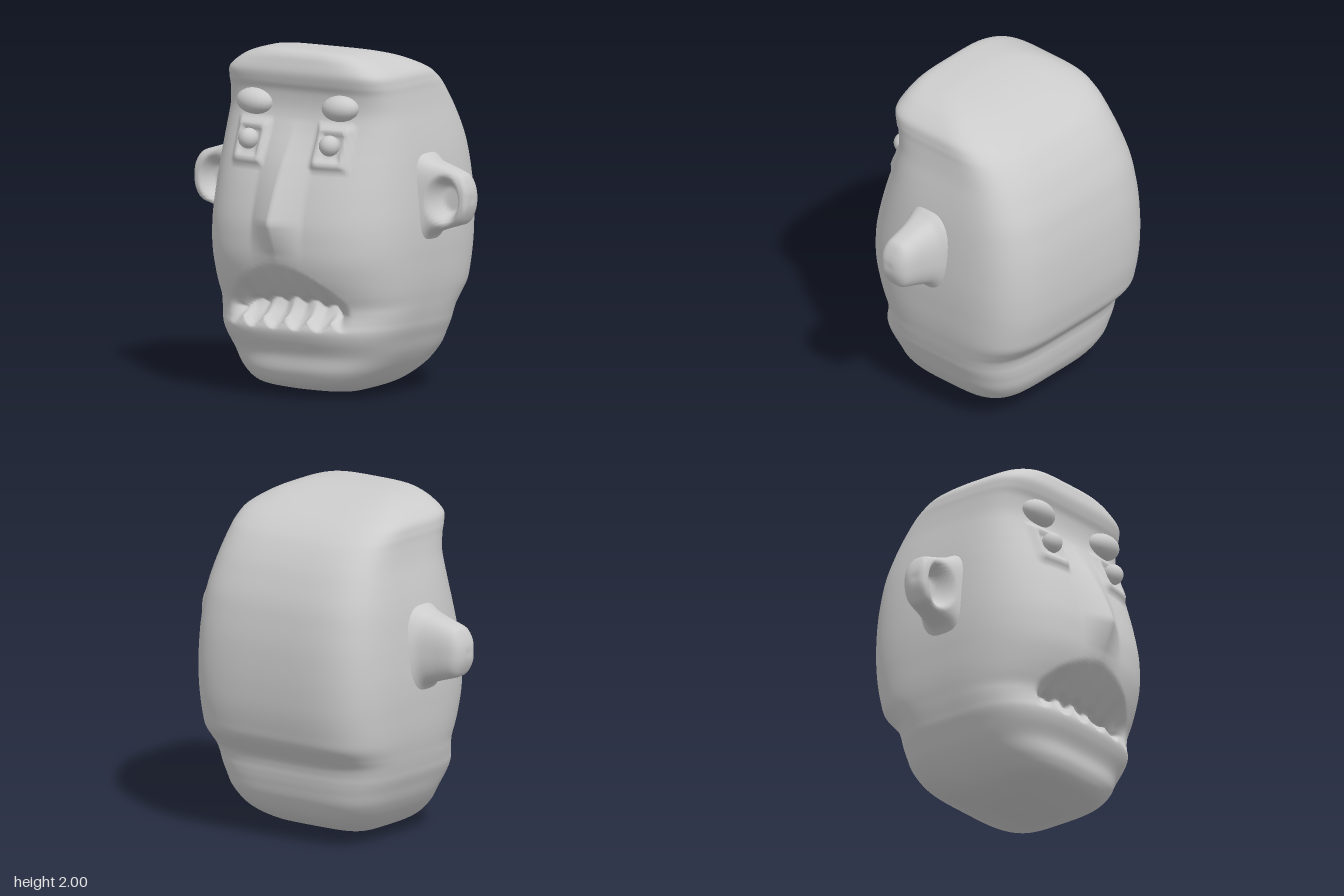
import * as THREE from 'three';

const { lerp, smoothstep, clamp } = THREE.MathUtils;

// Closed surface from rings: point(i, j) gives [x, y, z]
function skin(name, rings, sides, point, material) {
  const pos = [], index = [];
  for (let i = 0; i < rings; i++) for (let j = 0; j < sides; j++) pos.push(...point(i, j));
  for (let i = 0; i < rings - 1; i++) {
    for (let j = 0; j < sides; j++) {
      const a = i * sides + j, b = i * sides + (j + 1) % sides;
      index.push(a, b, a + sides, b, b + sides, a + sides);
    }
  }
  const g = new THREE.BufferGeometry();
  g.setAttribute('position', new THREE.Float32BufferAttribute(pos, 3));
  g.setIndex(index);
  g.computeVertexNormals();
  const mesh = new THREE.Mesh(g, material);
  mesh.name = name;
  return mesh;
}

// Smooth interpolation through rows of numbers
function sampleRows(rows, t) {
  const last = rows.length - 1, k = Math.min(Math.floor(t), last - 1), f = t - k;
  const at = n => rows[clamp(n, 0, last)];
  return rows[k].map((p1, c) => {
    const p0 = at(k - 1)[c], p2 = at(k + 1)[c], p3 = at(k + 2)[c];
    return p1 + 0.5 * f * (p2 - p0 + f * (2 * p0 - 5 * p1 + 4 * p2 - p3 + f * (3 * (p1 - p2) + p3 - p0)));
  });
}

// Piecewise linear value from [x, value] pairs in rising x
function ramp(pairs, x) {
  if (x <= pairs[0][0]) return pairs[0][1];
  for (let i = 1; i < pairs.length; i++) {
    const [x0, v0] = pairs[i - 1], [x1, v1] = pairs[i];
    if (x <= x1) return lerp(v0, v1, (x - x0) / (x1 - x0));
  }
  return pairs[pairs.length - 1][1];
}

// Superellipse radius for direction (c, s)
const superRadius = (c, s, a, b, n) =>
  Math.pow(Math.pow(Math.abs(c) / a, n) + Math.pow(Math.abs(s) / b, n), -1 / n);

// Head levels, bottom up: height, half width, front z, back z, front squareness
const HEAD = [
  [0, 0.001, 0.02, 0.018, 2.5],
  [0.008, 0.16, 0.14, -0.08, 2.8],
  [0.025, 0.25, 0.25, -0.15, 3],
  [0.07, 0.36, 0.405, -0.29, 3.2],
  [0.15, 0.45, 0.465, -0.42, 3.2],
  [0.25, 0.52, 0.475, -0.49, 3.2],
  [0.34, 0.56, 0.515, -0.515, 3.2],
  [0.4, 0.585, 0.53, -0.525, 3.1],
  [0.45, 0.598, 0.515, -0.53, 3.1],
  [0.5, 0.61, 0.505, -0.545, 3.1],
  [0.55, 0.62, 0.515, -0.585, 3],
  [0.62, 0.633, 0.545, -0.64, 3],
  [0.7, 0.643, 0.58, -0.662, 2.9],
  [0.8, 0.65, 0.605, -0.68, 2.9],
  [0.9, 0.655, 0.61, -0.688, 2.9],
  [1.03, 0.655, 0.6, -0.69, 2.9],
  [1.2, 0.645, 0.555, -0.68, 3],
  [1.35, 0.63, 0.5, -0.655, 3.2],
  [1.45, 0.615, 0.455, -0.63, 3.5],
  [1.55, 0.595, 0.41, -0.59, 4],
  [1.65, 0.573, 0.38, -0.54, 4.5],
  [1.75, 0.557, 0.38, -0.47, 5],
  [1.81, 0.55, 0.4, -0.41, 5],
  [1.87, 0.53, 0.41, -0.32, 5],
  [1.93, 0.455, 0.395, -0.18, 4.5],
  [1.965, 0.38, 0.38, -0.06, 4],
  [1.988, 0.29, 0.355, 0.06, 4],
  [1.998, 0.17, 0.32, 0.15, 3.5],
  [2, 0.001, 0.25, 0.248, 3],
];
const NOSE = [[0.76, 0], [0.85, 0.02], [0.94, 0.06], [1.03, 0.1], [1.35, 0.05], [1.6, 0]];

// Relief of the face along z at a point of its front
function faceRelief(x, y) {
  const ax = Math.abs(x);
  let dz = ramp(NOSE, y) * Math.max(0, 1 - ax / 0.17);
  // raised square eye sockets with a shallow hollow
  const sq = Math.max(Math.abs(ax - 0.277), Math.abs(y - 1.465) * 0.9);
  dz += 0.035 * (1 - smoothstep(sq, 0.085, 0.125)) - 0.025 * (1 - smoothstep(sq, 0.05, 0.08));
  // mouth: sloping upper lip, scalloped edges and a floor rising to the lower lip
  if (ax < 0.42) {
    const fade = 1 - smoothstep(ax, 0.26, 0.42);
    const scallop = Math.abs(Math.cos(Math.PI * x / 0.13));
    const top = 0.78 - 1.3 * ax * ax;
    const mid = 0.595 - 0.5 * ax * ax - 0.035 * (1 - scallop);
    const low = 0.415 + 0.06 * (1 - Math.abs(Math.sin(Math.PI * x / 0.15)));
    dz -= fade * ramp([[low - 0.008, 0], [low + 0.008, 0.04], [mid - 0.012, 0.14],
      [mid + 0.012, 0.1], [Math.max(top, mid + 0.05), 0]], y);
  }
  return dz;
}

function makeHead(material) {
  const steps = 6, sides = 240;
  return skin('head', (HEAD.length - 1) * steps + 1, sides, (i, j) => {
    const [y, w, zf, zb, n] = sampleRows(HEAD, i / steps);
    const a = j / sides * Math.PI * 2, s = Math.sin(a), c = Math.cos(a);
    const depth = Math.max((zf - zb) / 2, 0.0005);
    const r = superRadius(s, c, Math.max(w, 0.0005), depth, c > 0 ? n : 4.3);
    const x = r * s, z = (zf + zb) / 2 + r * c;
    return [x, y, z + (c > 0 && z > 0.15 && y > 0.3 ? faceRelief(x, y) : 0)];
  }, material);
}

// Ear sections outward: x, centre y, half height, front z, back z
const EAR = [
  [0.52, 1.13, 0.32, 0.14, -0.26],
  [0.62, 1.14, 0.27, 0.11, -0.22],
  [0.68, 1.16, 0.215, 0.09, -0.17],
  [0.76, 1.165, 0.185, 0.07, -0.145],
  [0.84, 1.165, 0.16, 0.065, -0.13],
  [0.89, 1.165, 0.14, 0.06, -0.115],
  [0.92, 1.165, 0.09, 0.055, -0.09],
  [0.935, 1.165, 0.04, 0.03, -0.05],
  [0.935, 1.165, 0.001, -0.01, -0.012],
];

function makeEar(side, material) {
  const steps = 5, sides = 64;
  return skin(side > 0 ? 'leftEar' : 'rightEar', (EAR.length - 1) * steps + 1, sides, (i, j) => {
    const [x, cy, h, zf, zb] = sampleRows(EAR, i / steps);
    const a = j / sides * Math.PI * 2, s = Math.sin(a), c = Math.cos(a);
    const r = superRadius(s, c, Math.max(h, 0.0005), Math.max((zf - zb) / 2, 0.0005), c > 0 ? 4 : 2.4);
    const y = cy - side * r * s;
    let z = (zf + zb) / 2 + r * c;
    // hollow cup on the front
    if (c > 0) {
      const d = Math.hypot((x - 0.785) / 0.11, (y - 1.155) / 0.15);
      z -= 0.1 * (1 - smoothstep(d, 0.45, 1));
    }
    return [side * x, y, z];
  }, material);
}

function ellipsoid(name, radii, position, tilt, material) {
  const mesh = new THREE.Mesh(new THREE.SphereGeometry(1, 20, 12), material);
  mesh.name = name;
  mesh.scale.set(...radii);
  mesh.position.set(...position);
  mesh.rotation.z = tilt;
  return mesh;
}

export function createModel() {
  const material = new THREE.MeshStandardMaterial({ color: 0xcccccc });
  const model = new THREE.Group();
  model.name = 'headBust';
  model.add(makeHead(material));
  for (const side of [1, -1]) {
    const label = side > 0 ? 'left' : 'right';
    model.add(
      makeEar(side, material),
      ellipsoid(label + 'Brow', [0.118, 0.076, 0.085], [side * 0.292, 1.685, 0.378], side * 0.06, material),
      ellipsoid(label + 'Eyeball', [0.06, 0.06, 0.06], [side * 0.277, 1.48, 0.47], 0, material),
    );
  }
  return model;
}
